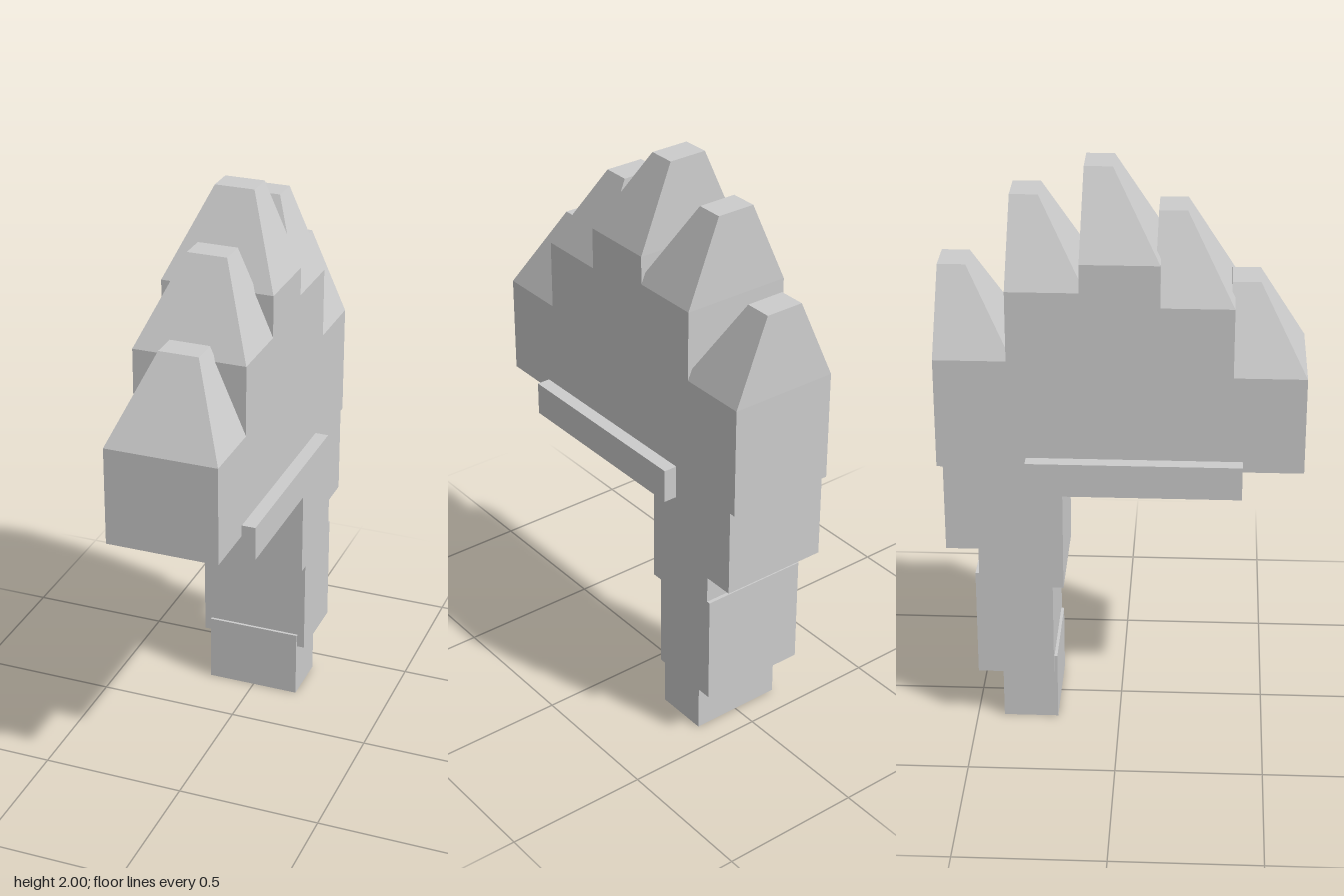
import * as THREE from 'three';

const HALF_WIDTH = 0.193;

export function createModel() {
  const model = new THREE.Group();
  const grey = new THREE.MeshStandardMaterial({ color: 0xcccccc });

  // Box given by half width and its y and z limits
  function block(name, half, y0, y1, z0, z1) {
    const geometry = new THREE.BoxGeometry(2 * half, y1 - y0, z1 - z0);
    geometry.translate(-0.002, (y0 + y1) / 2, (z0 + z1) / 2);
    const mesh = new THREE.Mesh(geometry, grey);
    mesh.name = name;
    model.add(mesh);
  }

  // Box whose top corners are drawn in: narrow sides, sloped front, near-upright back
  function spike(name, y0, y1, zFront) {
    const geometry = new THREE.BoxGeometry(1, 1, 1);
    const p = geometry.attributes.position;
    for (let i = 0; i < p.count; i++) {
      const top = p.getY(i) > 0;
      const front = p.getZ(i) > 0;
      const x = Math.sign(p.getX(i)) * (top ? 0.068 : HALF_WIDTH) - 0.002;
      const z = zFront - (front ? (top ? 0.157 : 0) : (top ? 0.25 : 0.261));
      p.setXYZ(i, x, top ? y1 : y0, z);
    }
    geometry.computeVertexNormals();
    const mesh = new THREE.Mesh(geometry, grey);
    mesh.name = name;
    model.add(mesh);
  }

  // Five columns side by side, each ending in a spike
  const shoulders = [1.33, 1.57, 1.714, 1.617, 1.375];
  shoulders.forEach((y, i) => {
    const front = 0.614 - i * 0.2405;
    block('column' + (i + 1), HALF_WIDTH, 0.99, y, front - 0.261, front);
    spike('spike' + (i + 1), y, y + 0.287, front);
  });

  // Cross bar through the underside
  block('crossBar', 0.24, 0.91, 1.028, -0.31, 0.41);

  // Stepped stem
  block('stemTop', HALF_WIDTH, 0.68, 1.0, -0.588, -0.19);
  block('stemNeck', HALF_WIDTH, 0.535, 0.7, -0.478, -0.19);
  block('stemLower', HALF_WIDTH, 0.195, 0.585, -0.491, -0.227);
  block('foot', 0.167, 0, 0.245, -0.407, -0.217);

  return model;
}
